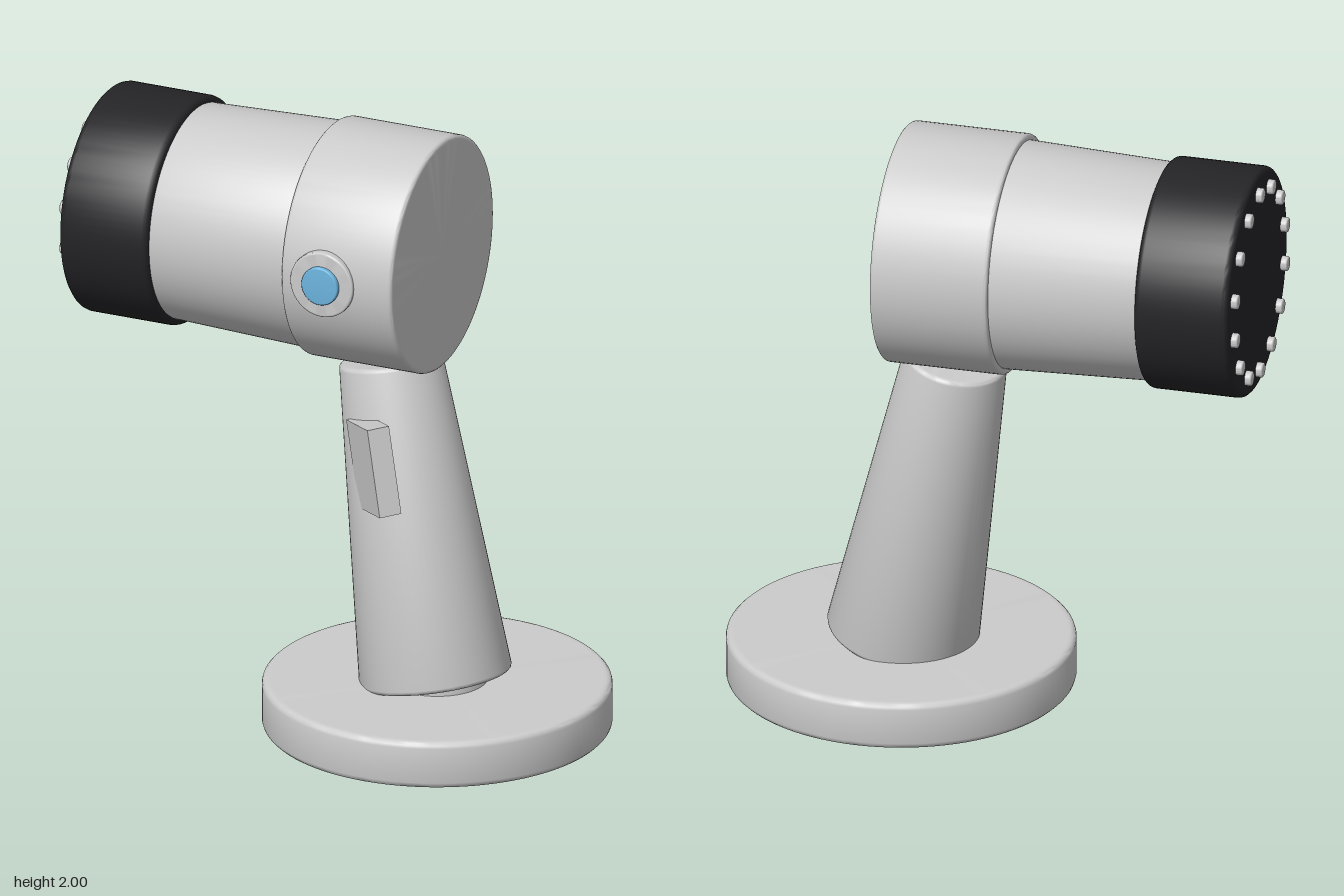
import * as THREE from 'three';
import { toCreasedNormals } from 'three/addons/utils/BufferGeometryUtils.js';

const mat = (color) => new THREE.MeshStandardMaterial({ color });
const grey = mat(0xcccccc);
const white = mat(0xf0f0f0);
const black = mat(0x242427);
const blue = mat(0x6cb4de);

function add(parent, name, geometry, material, x = 0, y = 0, z = 0) {
  const mesh = new THREE.Mesh(geometry, material);
  mesh.name = name;
  mesh.position.set(x, y, z);
  parent.add(mesh);
  return mesh;
}

// Solid of revolution from y0 to y1 with rounded rims
function drum(r0, r1, y0, y1, bevel, segments = 64) {
  const p = [[0, y0], [r0 - bevel * 1.5, y0]];
  for (let i = 0; i <= 3; i++) {
    const a = (i / 3) * Math.PI / 2;
    p.push([r0 - bevel + bevel * Math.sin(a), y0 + bevel - bevel * Math.cos(a)]);
  }
  for (let i = 0; i <= 3; i++) {
    const a = (i / 3) * Math.PI / 2;
    p.push([r1 - bevel + bevel * Math.cos(a), y1 - bevel + bevel * Math.sin(a)]);
  }
  p.push([r1 - bevel * 1.5, y1], [0, y1]);
  const points = p.map(([x, y]) => new THREE.Vector2(x, y));
  return toCreasedNormals(new THREE.LatheGeometry(points, segments), 0.6);
}

export function createModel() {
  const model = new THREE.Group();
  model.name = 'swivelHeadOnStand';

  // Round foot and the pivot the arm sits on
  add(model, 'base', drum(0.57, 0.57, 0, 0.16, 0.02, 96), grey, 0.335, 0, 0);
  add(model, 'pivot', drum(0.165, 0.165, 0.1, 0.2, 0.005), white, 0.335, 0, 0);

  // Tapered arm leaning towards the head
  const foot = new THREE.Vector3(0.33, 0.16, 0);
  const lean = new THREE.Vector3(0.125, 1.215, -0.09).sub(foot);
  const length = lean.length();
  const arm = new THREE.Group();
  arm.name = 'armAssembly';
  arm.position.copy(foot);
  arm.quaternion.setFromUnitVectors(new THREE.Vector3(0, 1, 0), lean.normalize());
  model.add(arm);
  add(arm, 'arm', drum(0.25, 0.17, 0, length, 0.015), white);

  // Angled block half sunk into the arm
  const block = add(arm, 'armBlock', new THREE.BoxGeometry(0.21, 0.295, 0.075), grey, -0.007, 0.766, 0.211);
  block.rotation.y = -Math.PI / 4;

  // Head: turned so its local +y points to -x
  const head = new THREE.Group();
  head.name = 'head';
  head.position.set(0, 1.605, -0.093);
  head.rotation.z = Math.PI / 2;
  model.add(head);
  add(head, 'collar', drum(0.395, 0.395, -0.31, 0.085, 0.012, 96), white);
  add(head, 'barrel', drum(0.376, 0.358, 0.06, 0.58, 0.008, 96), grey);
  add(head, 'frontRing', drum(0.38, 0.38, 0.575, 0.89, 0.02, 96), black);

  // Ring of pins on the front disc
  const pins = 14;
  for (let i = 0; i < pins; i++) {
    const a = (i / pins) * Math.PI * 2;
    add(head, 'pin', drum(0.025, 0.025, 0.87, 0.912, 0.006, 20), white,
      0.313 * Math.cos(a), 0, 0.313 * Math.sin(a));
  }

  // Push button on the side of the collar
  const button = new THREE.Group();
  button.name = 'button';
  button.position.set(0.065, 1.605, 0);
  button.rotation.x = Math.PI / 2;
  model.add(button);
  add(button, 'buttonBezel', drum(0.112, 0.112, 0.27, 0.314, 0.006, 48), white);
  add(button, 'buttonCap', drum(0.065, 0.065, 0.3, 0.33, 0.005, 40), blue);

  return model;
}
